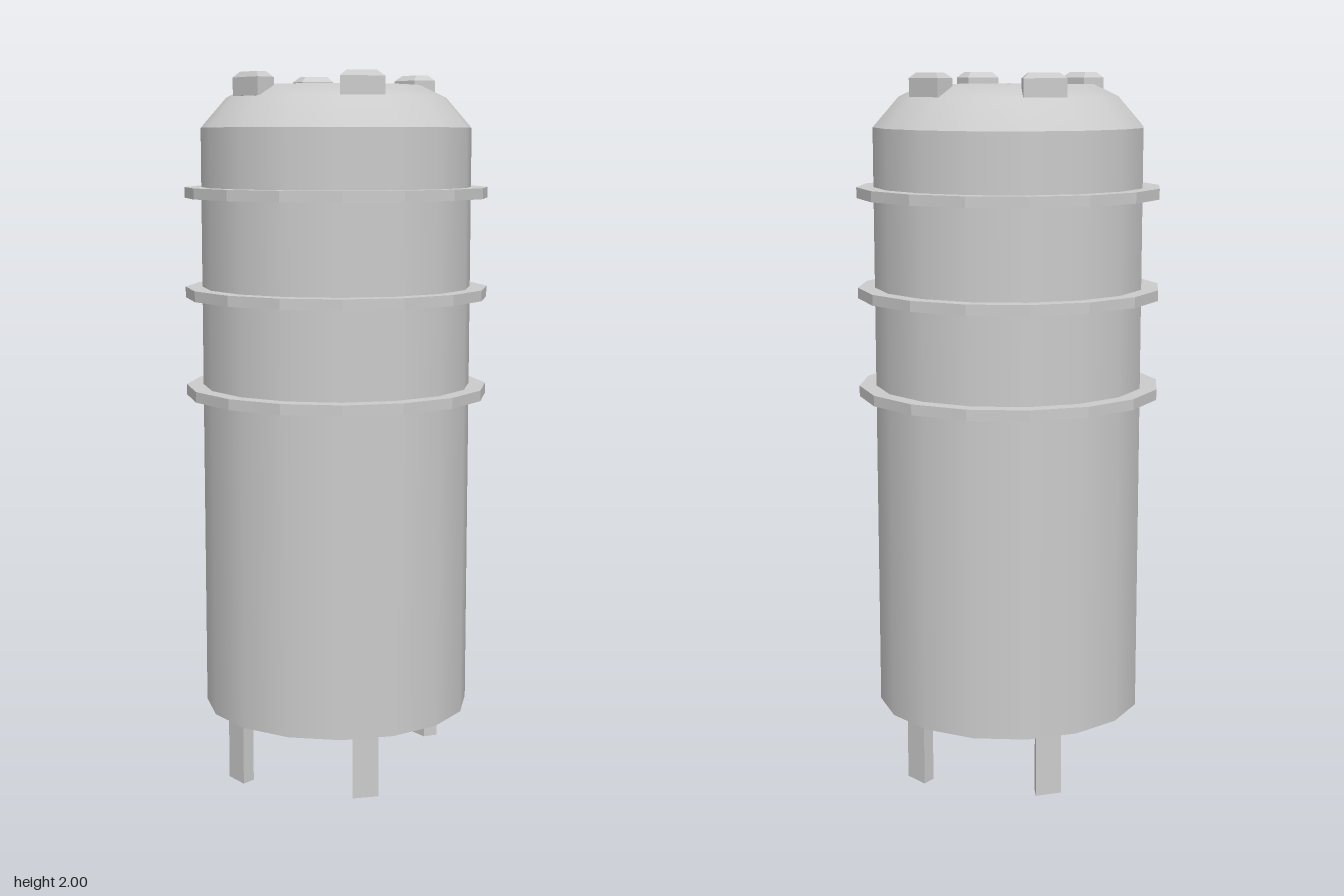
import * as THREE from 'three';

const SIDES = 16;
const RADIUS = 0.383;

// Prism through trapezoid sections [y, outer width, inner width, outer z, inner z], listed bottom to top
function trapezoidLoft(sections) {
  const rings = sections.map(([y, outer, inner, zOut, zIn]) => [
    [-outer / 2, y, zOut], [outer / 2, y, zOut], [inner / 2, y, zIn], [-inner / 2, y, zIn],
  ]);
  const positions = [];
  const quad = (a, b, c, d) => positions.push(...a, ...b, ...c, ...a, ...c, ...d);
  for (let s = 0; s < rings.length - 1; s++) {
    for (let i = 0; i < 4; i++) {
      const j = (i + 1) % 4;
      quad(rings[s][i], rings[s][j], rings[s + 1][j], rings[s + 1][i]);
    }
  }
  const top = rings[rings.length - 1];
  const bottom = rings[0];
  quad(top[0], top[1], top[2], top[3]);
  quad(bottom[3], bottom[2], bottom[1], bottom[0]);
  const geometry = new THREE.BufferGeometry();
  geometry.setAttribute('position', new THREE.Float32BufferAttribute(positions, 3));
  geometry.computeVertexNormals();
  return geometry;
}

export function createModel() {
  const model = new THREE.Group();
  model.name = 'tank';
  const smooth = new THREE.MeshStandardMaterial({ color: 0xcccccc });
  const flat = new THREE.MeshStandardMaterial({ color: 0xcccccc, flatShading: true });

  const add = (name, geometry, material, y = 0) => {
    const mesh = new THREE.Mesh(geometry, material);
    mesh.name = name;
    mesh.position.y = y;
    model.add(mesh);
    return mesh;
  };

  // Tank body
  add('body', new THREE.CylinderGeometry(RADIUS, RADIUS, 1.67, SIDES), smooth, 1.015);

  // Low domed lid
  const profile = [[RADIUS, 1.85], [0.31, 1.934], [0.24, 1.967], [0, 1.97]];
  add('dome', new THREE.LatheGeometry(profile.map(([r, y]) => new THREE.Vector2(r, y)), SIDES), smooth);

  // Flat bands around the upper half
  for (const y of [1.107, 1.388, 1.67]) {
    add('band', new THREE.CylinderGeometry(0.431, 0.431, 0.03, SIDES), flat, y);
  }

  // Four wedge legs below and four chamfered lugs on the lid, facing outward
  const leg = trapezoidLoft([
    [0, 0.075, 0.054, 0.355, 0.314],
    [0.19, 0.075, 0.054, 0.355, 0.314],
  ]);
  const lug = trapezoidLoft([
    [1.935, 0.123, 0.092, 0.307, 0.243],
    [1.985, 0.123, 0.092, 0.307, 0.243],
    [2.0, 0.085, 0.066, 0.296, 0.261],
  ]);
  const angle = 0.585;
  for (const turn of [angle, -angle, Math.PI - angle, Math.PI + angle]) {
    add('leg', leg, flat).rotation.y = turn;
    add('lug', lug, flat).rotation.y = turn;
  }

  return model;
}
